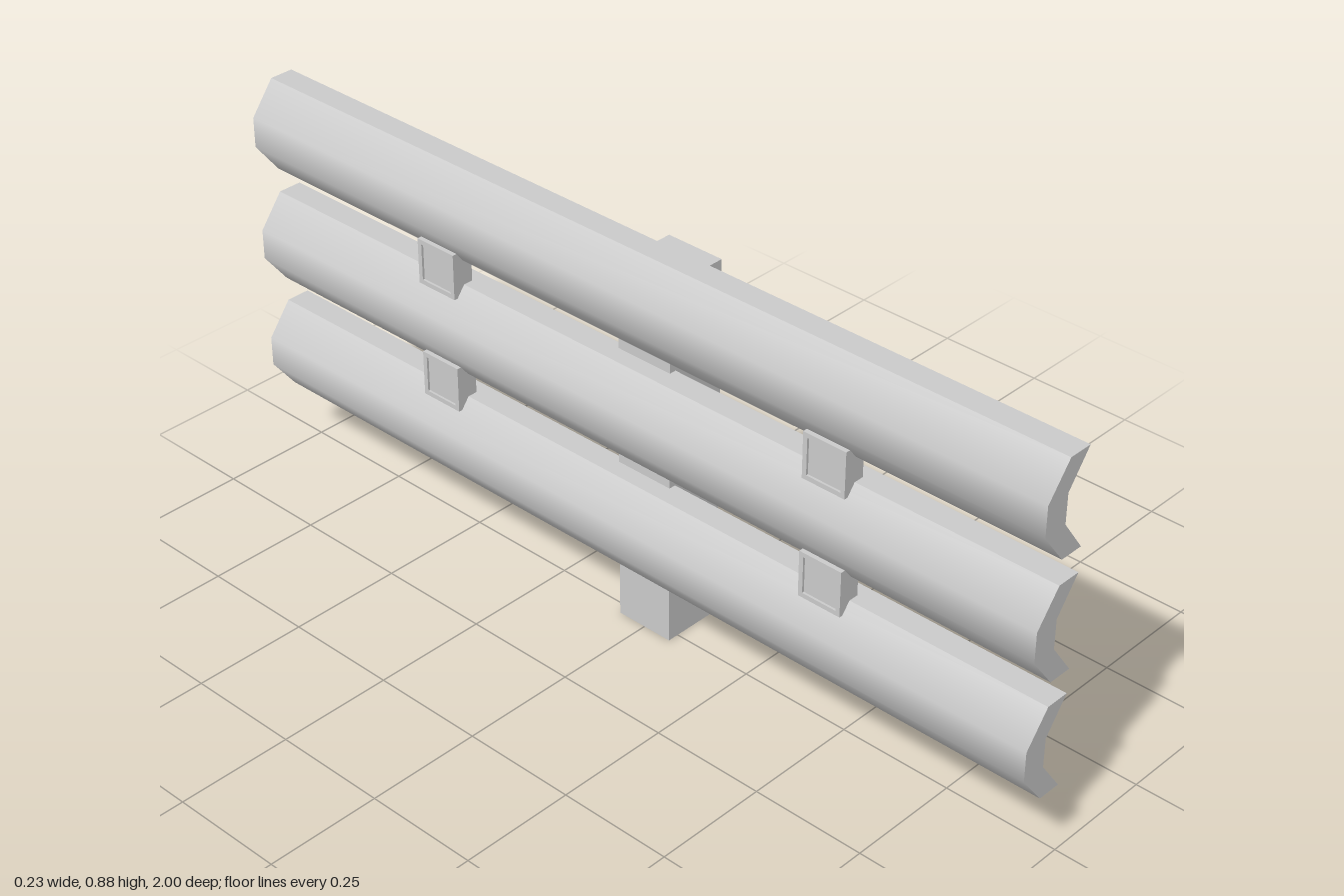
import * as THREE from 'three';
import { toCreasedNormals } from 'three/addons/utils/BufferGeometryUtils.js';

const material = new THREE.MeshStandardMaterial({ color: 0xcccccc });

function add(parent, name, geometry, x, y, z) {
  const mesh = new THREE.Mesh(geometry, material);
  mesh.name = name;
  mesh.position.set(x, y, z);
  parent.add(mesh);
  return mesh;
}

// Channel-shaped beam section, centred on y = 0, extruded along z
function railGeometry() {
  const upper = [[-0.01, 0.103], [-0.063, 0.103], [-0.117, 0.033]];
  const inner = [[-0.062, -0.032], [-0.062, 0.032]];
  const lower = upper.map(([x, y]) => [x, -y]).reverse();
  const points = [...upper, ...lower, ...inner].map(([x, y]) => new THREE.Vector2(x, y));
  const geometry = new THREE.ExtrudeGeometry(new THREE.Shape(points), { depth: 2, bevelEnabled: false });
  geometry.translate(0, 0, -1);
  return toCreasedNormals(geometry, 0.8);
}

// Rectangular rim around the spacer's outward face
function rimGeometry(w, h, rim, depth) {
  const rect = (a, b) => [[-a, -b], [a, -b], [a, b], [-a, b]].map(([x, y]) => new THREE.Vector2(x, y));
  const shape = new THREE.Shape(rect(w / 2, h / 2));
  shape.holes.push(new THREE.Path(rect(w / 2 - rim, h / 2 - rim).reverse()));
  const geometry = new THREE.ExtrudeGeometry(shape, { depth, bevelEnabled: false });
  return geometry.rotateY(-Math.PI / 2);
}

export function createModel() {
  const model = new THREE.Group();
  model.name = 'guardRail';

  // Square post
  add(model, 'post', new THREE.BoxGeometry(0.14, 0.813, 0.134), 0.045, 0.4065, 0);

  // Three stacked rails
  const rail = railGeometry();
  for (let i = 0; i < 3; i++) add(model, 'rail', rail, 0, 0.262 + i * 0.26, 0);

  // Spacers bridging the gaps, each with a shallow recessed face
  const body = new THREE.BoxGeometry(0.044, 0.1, 0.1);
  const rim = rimGeometry(0.1, 0.1, 0.01, 0.005);
  for (const y of [0.391, 0.651]) {
    for (const z of [-0.5, 0.5]) {
      const spacer = new THREE.Group();
      spacer.name = 'spacer';
      spacer.position.set(0, y, z);
      add(spacer, 'spacerBody', body, -0.063, 0, 0);
      add(spacer, 'spacerRim', rim, -0.085, 0, 0);
      model.add(spacer);
    }
  }
  return model;
}
